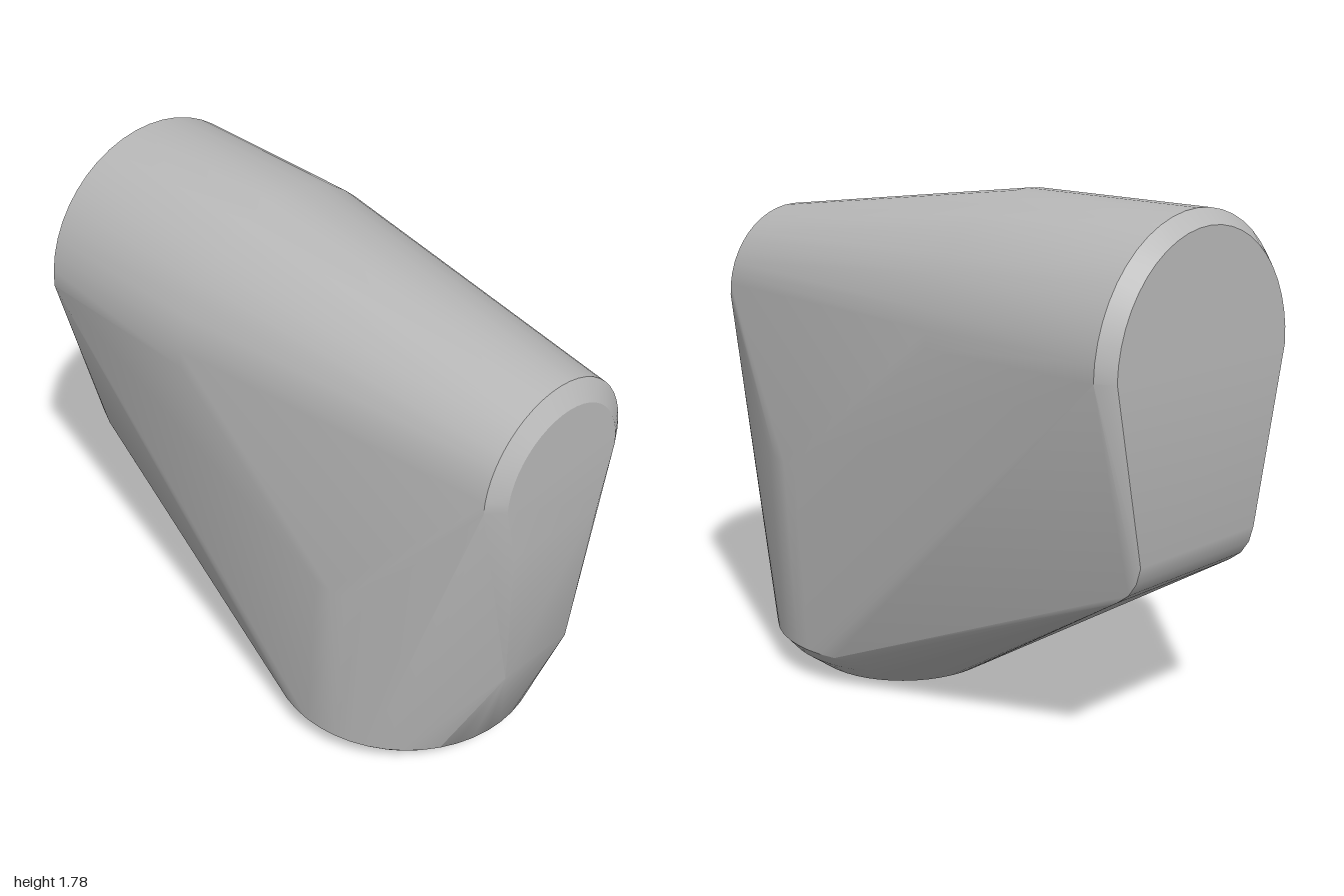
import * as THREE from 'three';
import { ConvexGeometry } from 'three/addons/geometries/ConvexGeometry.js';
import { toCreasedNormals } from 'three/addons/utils/BufferGeometryUtils.js';

const SEGMENTS = 48;

// Upper half circle facing along x, centred on the barrel axis
function arch(x, y, r) {
  return Array.from({ length: SEGMENTS / 2 + 1 }, (_, i) => {
    const a = (i / (SEGMENTS / 2)) * Math.PI;
    return new THREE.Vector3(x, y + r * Math.sin(a), r * Math.cos(a));
  });
}

// Level circle round the foot
function ring(x, y, r) {
  return Array.from({ length: SEGMENTS }, (_, i) => {
    const a = (i / SEGMENTS) * Math.PI * 2;
    return new THREE.Vector3(x + r * Math.cos(a), y, r * Math.sin(a));
  });
}

// Mirrored pair of corners
const pair = (x, y, z) => [new THREE.Vector3(x, y, z), new THREE.Vector3(x, y, -z)];

export function createModel() {
  const group = new THREE.Group();
  const grey = new THREE.MeshStandardMaterial({ color: 0xb8b8b8 });
  grey.name = 'grey';

  const points = [
    // Rounded barrel: chamfered wide end, straight run, taper to the narrow end
    ...arch(-1, 1.315, 0.42),
    ...arch(-0.95, 1.315, 0.468),
    ...arch(-0.25, 1.315, 0.47),
    ...arch(0.96, 1.315, 0.312),
    ...arch(1, 1.31, 0.25),
    // Round foot with a bevelled base
    ...ring(0.41, 0.8, 0.48),
    ...ring(0.36, 0.12, 0.48),
    ...ring(0.36, 0.07, 0.435),
    ...ring(0.36, 0, 0.34),
    // Lower edge of the narrow end
    ...pair(1, 1.1, 0.2),
    ...pair(0.965, 0.53, 0.15),
    // Curved lower edge of the wide end
    ...[[-1, 0.72], [-0.985, 0.665], [-0.955, 0.62], [-0.91, 0.585]].flatMap(
      ([x, y]) => pair(x, y, 0.29)),
  ];

  const body = new THREE.Mesh(toCreasedNormals(new ConvexGeometry(points), 0.45), grey);
  body.name = 'body';
  group.add(body);
  return group;
}
